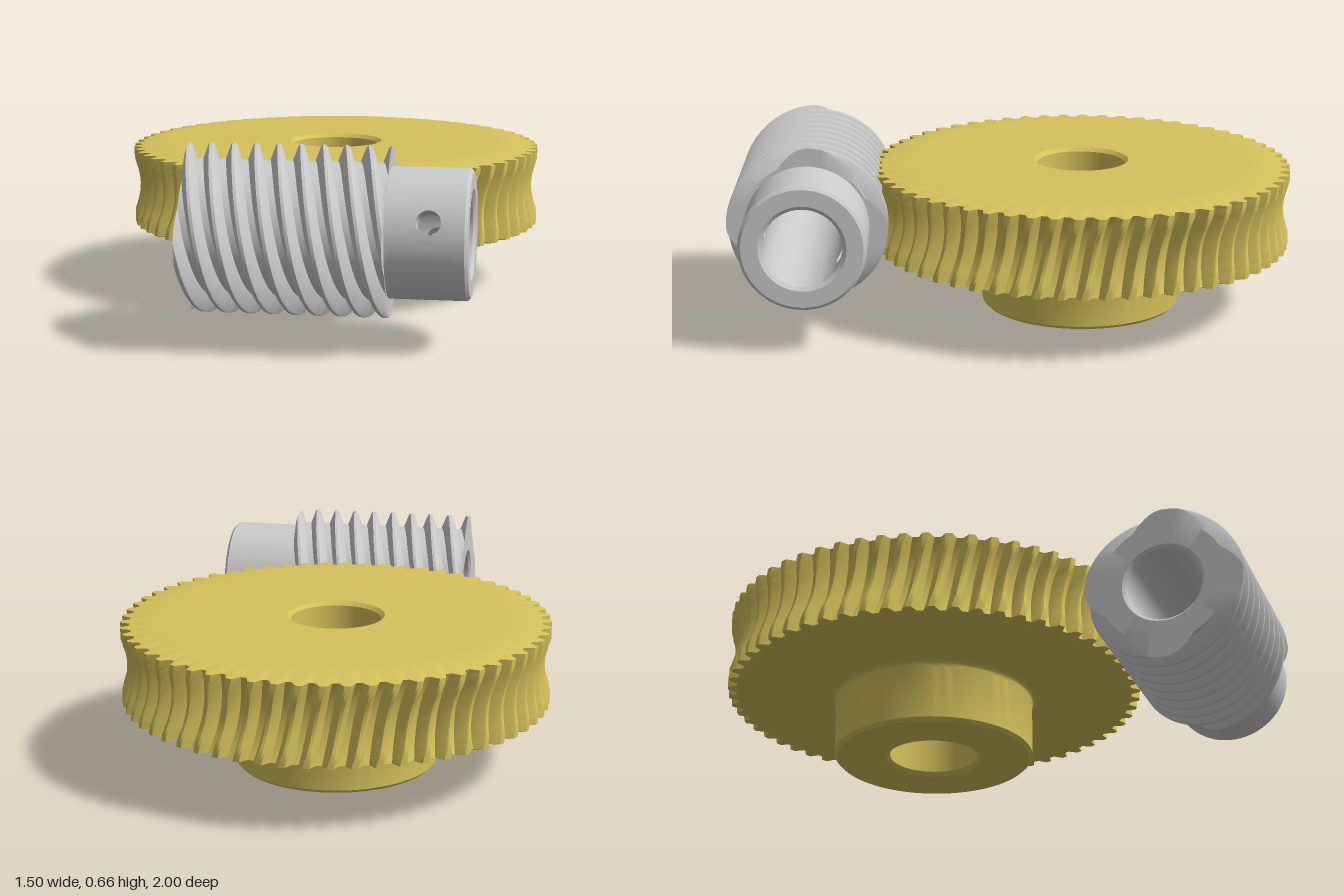
import * as THREE from 'three';
import { toCreasedNormals } from 'three/addons/utils/BufferGeometryUtils.js';

const TAU = Math.PI * 2;
const PITCH = 0.075, STARTS = 4, LEAD = PITCH * STARTS, TEETH = 60;
const AXIS_Y = 0.378, WORM_Z = 0.72, GEAR_Z = -0.25, CENTRES = WORM_Z - GEAR_Z;

// Tooth profile over one pitch: [position, height], crest at 0
const TOOTH = [[-0.36, 0], [-0.14, 0.88], [-0.07, 1], [0.07, 1], [0.14, 0.88], [0.36, 0]];
function toothHeight(f) {
  const t = Math.abs(f - Math.round(f));
  if (t <= 0.07) return 1;
  if (t <= 0.14) return 1 - 0.12 * (t - 0.07) / 0.07;
  return t < 0.36 ? 0.88 * (0.36 - t) / 0.22 : 0;
}

// Surface from a grid of points, collapsed triangles left out
function surface(nu, nv, point) {
  const pos = [];
  const grid = [];
  for (let i = 0; i <= nu; i++) {
    grid.push([]);
    for (let j = 0; j <= nv; j++) grid[i].push(point(i, j));
  }
  const tri = new THREE.Triangle();
  const add = (a, b, c) => {
    if (tri.set(a, b, c).getArea() < 1e-9) return;
    for (const p of [a, b, c]) pos.push(p.x, p.y, p.z);
  };
  for (let i = 0; i < nu; i++) {
    for (let j = 0; j < nv; j++) {
      const a = grid[i][j], b = grid[i + 1][j], c = grid[i + 1][j + 1], d = grid[i][j + 1];
      add(a, b, c);
      add(a, c, d);
    }
  }
  const g = new THREE.BufferGeometry();
  g.setAttribute('position', new THREE.Float32BufferAttribute(pos, 3));
  return toCreasedNormals(g, 0.5);
}

function mesh(parent, name, geometry, material) {
  const m = new THREE.Mesh(geometry, material);
  m.name = name;
  parent.add(m);
}

// Point around the worm axis (x)
const around = (x, r, a) => new THREE.Vector3(x, r * Math.sin(a), r * Math.cos(a));

// Profile of [x, r] points turned around the worm axis
const turned = (pts, from = 0, to = TAU, n = 72) =>
  surface(pts.length - 1, n, (i, j) => around(pts[i][0], pts[i][1], from + (to - from) * j / n));

function buildGear(material) {
  const gear = new THREE.Group();
  gear.name = 'wormWheel';
  gear.position.z = GEAR_Z;

  // Bored disc and hub
  const profile = [[0.6, 0.53], [0.17, 0.53], [0.157, 0.517], [0.157, 0.013], [0.17, 0],
    [0.345, 0], [0.357, 0.012], [0.357, 0.2]];
  for (let i = 1; i <= 5; i++) {
    const a = i / 5 * Math.PI / 2;
    profile.push([0.382 - 0.025 * Math.cos(a), 0.2 + 0.025 * Math.sin(a)]);
  }
  profile.push([0.6, 0.225]);
  const lathe = new THREE.LatheGeometry(profile.map(p => new THREE.Vector2(...p)), 96);
  mesh(gear, 'wheelHub', toCreasedNormals(lathe, 0.5), material);

  // Throated rim: tooth and root surfaces follow circles around the worm axis
  const rows = 14, yLow = 0.239, yHigh = 0.517;
  const rim = (y, f) => {
    const d = y - AXIS_Y;
    const root = CENTRES - Math.sqrt(0.287 ** 2 - d * d);
    const tip = CENTRES - Math.sqrt(0.24 ** 2 - d * d);
    return Math.min(0.75, root + (tip - root) * toothHeight(f));
  };
  const pitchRadius = TEETH * PITCH / TAU;
  const phase = (0.03 + PITCH / 2) / pitchRadius;
  const n = TOOTH.length;
  const geometry = surface(TEETH * n, rows + 4, (i, j) => {
    const f = TOOTH[i % n][0];
    const k = THREE.MathUtils.clamp(j - 2, 0, rows);
    const y = yLow + (yHigh - yLow) * k / rows;
    const skew = LEAD / TAU * Math.asin((y - AXIS_Y) / 0.256) / pitchRadius;
    const a = phase + skew + (Math.floor(i / n) + f) * TAU / TEETH;
    let r = rim(y, f), h = y;
    if (j < 2) { r = [0.59, 0.66][j]; h = 0.225; }
    if (j > rows + 2) { r = [0.66, 0.59][j - rows - 3]; h = 0.53; }
    return new THREE.Vector3(r * Math.sin(a), h, r * Math.cos(a));
  });
  mesh(gear, 'wheelTeeth', geometry, material);
  return gear;
}

function buildWorm(material) {
  const worm = new THREE.Group();
  worm.name = 'worm';
  worm.position.set(0, AXIS_Y, WORM_Z);
  const x0 = -0.34, x1 = 0.325, bore = 0.135, hubR = 0.216;

  // Multi-start thread, cut off square at both ends
  const n = TOOTH.length;
  const count = (Math.ceil((x1 - x0 + LEAD) / PITCH) + 3) * n;
  const crest = 0.03 + LEAD / 4; // helix position of a crest
  const first = crest - PITCH * Math.ceil((crest - x0) / PITCH + 1);
  const sides = 96;
  mesh(worm, 'wormThread', surface(count + 1, sides, (i, j) => {
    const a = TAU * j / sides;
    if (i === 0) return around(x0, 0.145, a);
    if (i === count + 1) return around(x1, 0.2, a);
    const k = i - 1;
    const u = first + (Math.floor(k / n) + TOOTH[k % n][0]) * PITCH;
    const shift = LEAD * a / TAU;
    const x = THREE.MathUtils.clamp(u - shift, x0, x1);
    return around(x, 0.226 + 0.054 * toothHeight((x + shift - crest) / PITCH), a);
  }), material);

  // Bore through the thread and chamfered hub end
  mesh(worm, 'wormBore', turned([[x1, bore], [-0.33, bore], [x0, 0.145]]), material);
  mesh(worm, 'hubEnd', turned([[0.58, hubR], [0.59, 0.205], [0.59, 0.148], [0.58, bore]]), material);

  // Hub walls with a cross hole through both sides
  const tilt = 0.35, half = 0.7, holeX = 0.465, holeR = 0.04;
  const holePoint = (R, a, dir) =>
    [holeX + holeR * Math.cos(a), dir + Math.asin(holeR * Math.sin(a) / R)];
  for (const dir of [tilt, tilt + Math.PI]) {
    for (const [name, R] of [['hubWall', hubR], ['hubBore', bore]]) {
      const ends = R === hubR ? [[x1, R], [0.58, R]] : [[0.58, R], [x1, R]];
      mesh(worm, name, turned(ends, dir + half, dir + Math.PI - half, 24), material);
      // Patch between the round hole and its rectangular border
      mesh(worm, name + 'AroundHole', surface(8, 64, (i, j) => {
        const a = (R === hubR ? 1 : -1) * TAU * j / 64;
        const c = Math.cos(a), s = Math.sin(a), m = Math.max(Math.abs(c), Math.abs(s));
        const [hx, ha] = holePoint(R, a, dir);
        const ex = holeX + c / m * (c > 0 ? 0.58 - holeX : holeX - x1);
        const ea = dir + s / m * half;
        return around(hx + (ex - hx) * i / 8, R, ha + (ea - ha) * i / 8);
      }), material);
    }
    mesh(worm, 'crossHole', surface(1, 64, (i, j) => {
      const R = i ? hubR : bore;
      const [x, a] = holePoint(R, TAU * j / 64, dir);
      return around(x, R, a);
    }), material);
  }
  return worm;
}

export function createModel() {
  const model = new THREE.Group();
  model.name = 'wormGearSet';
  const brass = new THREE.MeshStandardMaterial({ color: 0xd6c25c, side: THREE.DoubleSide });
  const steel = new THREE.MeshStandardMaterial({ color: 0xcccccc, side: THREE.DoubleSide });
  model.add(buildGear(brass), buildWorm(steel));
  return model;
}
